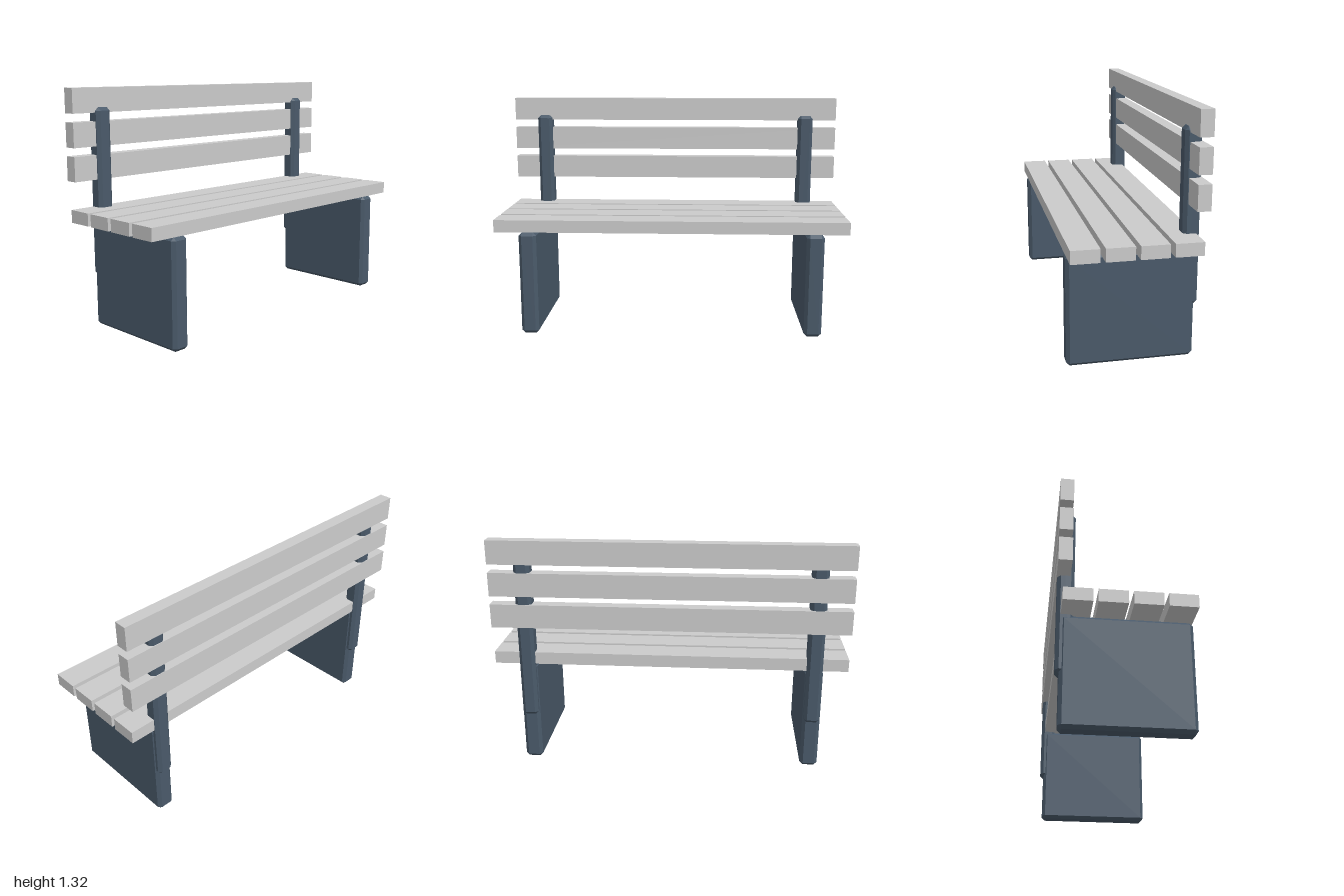
import * as THREE from 'three';
import { ConvexGeometry } from 'three/addons/geometries/ConvexGeometry.js';

const wood = new THREE.MeshStandardMaterial({ color: 0xcccccc });
const metal = new THREE.MeshStandardMaterial({ color: 0x4a5a6a });

// Box with all edges cut by a flat chamfer c
function chamferBox(w, h, d, c) {
  const half = [w / 2, h / 2, d / 2];
  const points = [];
  for (const sx of [-1, 1]) for (const sy of [-1, 1]) for (const sz of [-1, 1]) {
    for (let axis = 0; axis < 3; axis++) {
      const [x, y, z] = half.map((s, i) => (i === axis ? s : s - c));
      points.push(new THREE.Vector3(sx * x, sy * y, sz * z));
    }
  }
  return new ConvexGeometry(points);
}

export function createModel() {
  const bench = new THREE.Group();
  bench.name = 'bench';

  const add = (name, geometry, material, x, y, z) => {
    const mesh = new THREE.Mesh(geometry, material);
    mesh.name = name;
    mesh.position.set(x, y, z);
    bench.add(mesh);
  };

  // Four seat planks, front to back
  const seatPlank = new THREE.BoxGeometry(2, 0.07, 0.148);
  for (let i = 0; i < 4; i++) {
    add(`seatPlank${i + 1}`, seatPlank, wood, 0, 0.636, 0.272 - i * 0.173);
  }

  // Three backrest planks, bottom to top
  const backPlank = new THREE.BoxGeometry(2, 0.134, 0.07);
  for (let i = 0; i < 3; i++) {
    add(`backPlank${i + 1}`, backPlank, wood, 0, 0.892 + i * 0.181, -0.311);
  }

  // Slab legs and backrest posts on both sides
  const leg = chamferBox(0.1, 0.597, 0.668, 0.018);
  const post = chamferBox(0.09, 0.93, 0.088, 0.018);
  for (const [side, x] of [['left', 0.813], ['right', -0.813]]) {
    add(`${side}Leg`, leg, metal, x, 0.2985, 0.012);
    add(`${side}BackPost`, post, metal, x, 0.75, -0.298);
  }
  return bench;
}
